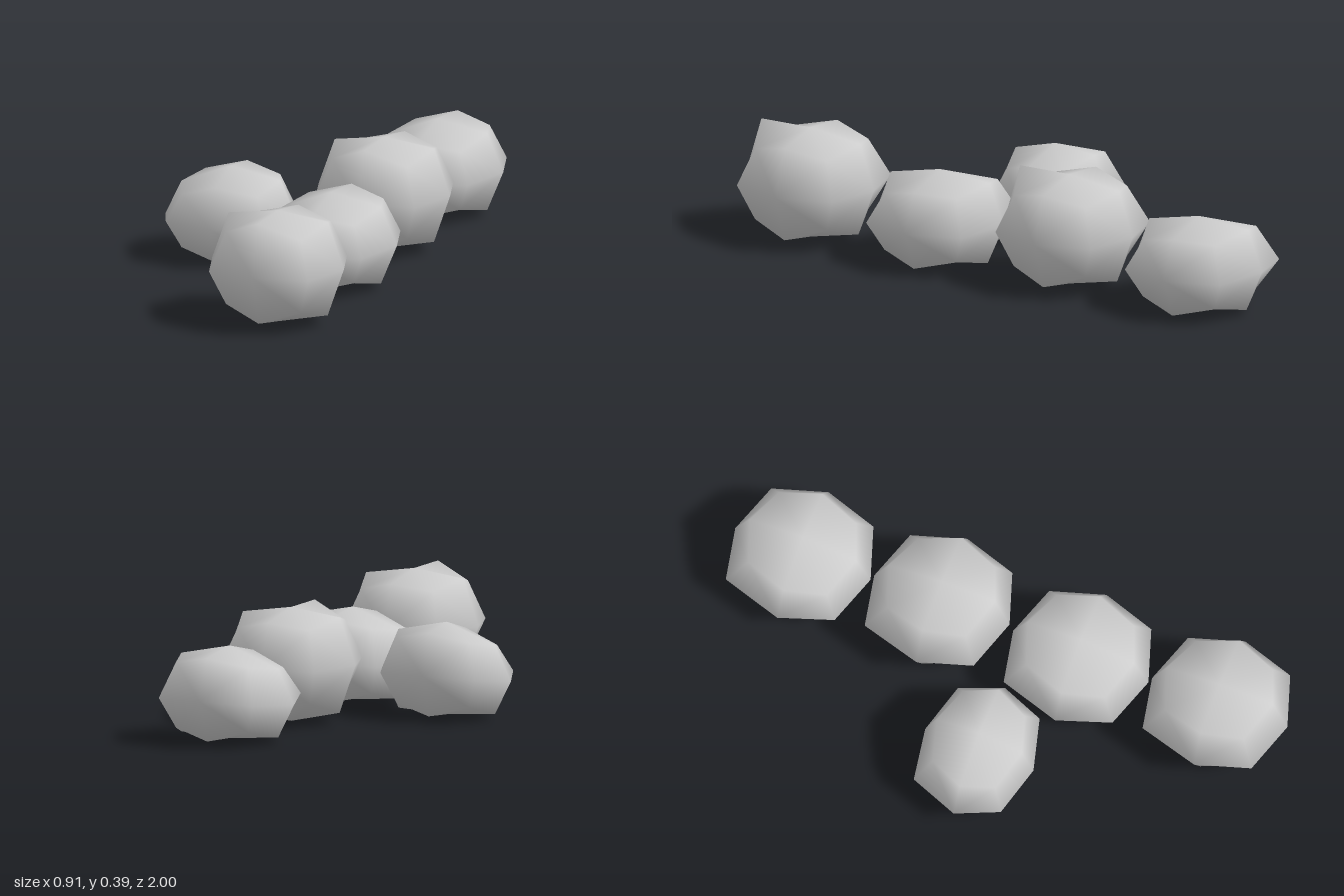
import * as THREE from 'three';

// Heights as 3x3 grids: rows run back to front, columns run -x to +x
const TALL = {
  bottom: [[.085, .04, .085], [.04, .002, .04], [.085, .04, .08]],
  middle: [[.205, .205, .205], [.205, .2, .205], [.205, .215, .205]],
  top: [[.335, .36, .33], [.365, .39, .365], [.337, .39, .33]],
};
const LOW = {
  bottom: [[.055, .022, .055], [.022, .01, .022], [.055, .024, .055]],
  middle: [[.155, .165, .16], [.135, .16, .16], [.15, .15, .155]],
  top: [[.275, .305, .28], [.255, .325, .29], [.24, .285, .255]],
};

// Rounded lump: a cube of 2x2 quads per side, drawn in towards its edges and corners
function boulderGeometry(kind, rx, rz) {
  const positions = [], index = [];
  const pull = [0, 1, 0.755, 0.57];
  const layers = [kind.bottom, kind.middle, kind.top];
  for (let x = -1; x <= 1; x++)
    for (let y = -1; y <= 1; y++)
      for (let z = -1; z <= 1; z++) {
        const f = pull[Math.abs(x) + Math.abs(y) + Math.abs(z)];
        // the back corner on the -x side bulges outwards
        const bulge = x < 0 && z < 0 ? (y === 0 ? 1.13 : 1.04) : 1;
        // the upper front and back rims are a little fuller
        const rim = y > 0 && x === 0 ? 1.04 : 1;
        positions.push(x * f * rx, layers[y + 1][z + 1][x + 1], z * f * rz * bulge * rim);
      }
  const id = (p) => (p[0] + 1) * 9 + (p[1] + 1) * 3 + p[2] + 1;
  for (let a = 0; a < 3; a++)
    for (const s of [-1, 1])
      for (const u of [-1, 1])
        for (const v of [-1, 1]) {
          const at = (i, j) => {
            const p = [0, 0, 0];
            p[a] = s;
            p[(a + 1) % 3] = i;
            p[(a + 2) % 3] = j;
            return id(p);
          };
          const centre = at(0, 0), corner = at(u, v);
          let e1 = at(u, 0), e2 = at(0, v);
          if (s * u * v < 0) [e1, e2] = [e2, e1];
          index.push(centre, e1, corner, centre, corner, e2);
        }
  const geometry = new THREE.BufferGeometry();
  geometry.setAttribute('position', new THREE.Float32BufferAttribute(positions, 3));
  geometry.setIndex(index);
  geometry.computeVertexNormals();
  return geometry;
}

export function createModel() {
  const group = new THREE.Group();
  group.name = 'boulders';
  const material = new THREE.MeshStandardMaterial({ color: 0xcccccc });
  const addBoulder = (name, kind, x, z, rx, rz) => {
    const mesh = new THREE.Mesh(boulderGeometry(kind, rx, rz), material);
    mesh.name = name;
    mesh.position.set(x, 0, z);
    group.add(mesh);
  };

  // Row of four, low and tall in turn from back to front
  for (let i = 0; i < 4; i++)
    addBoulder('rowBoulder' + (i + 1), i % 2 ? TALL : LOW, 0.218, -0.755 + i * 0.503, 0.237, 0.245);

  // Single low boulder beside the row
  addBoulder('sideBoulder', LOW, -0.218, 0.055, 0.237, 0.196);
  return group;
}
